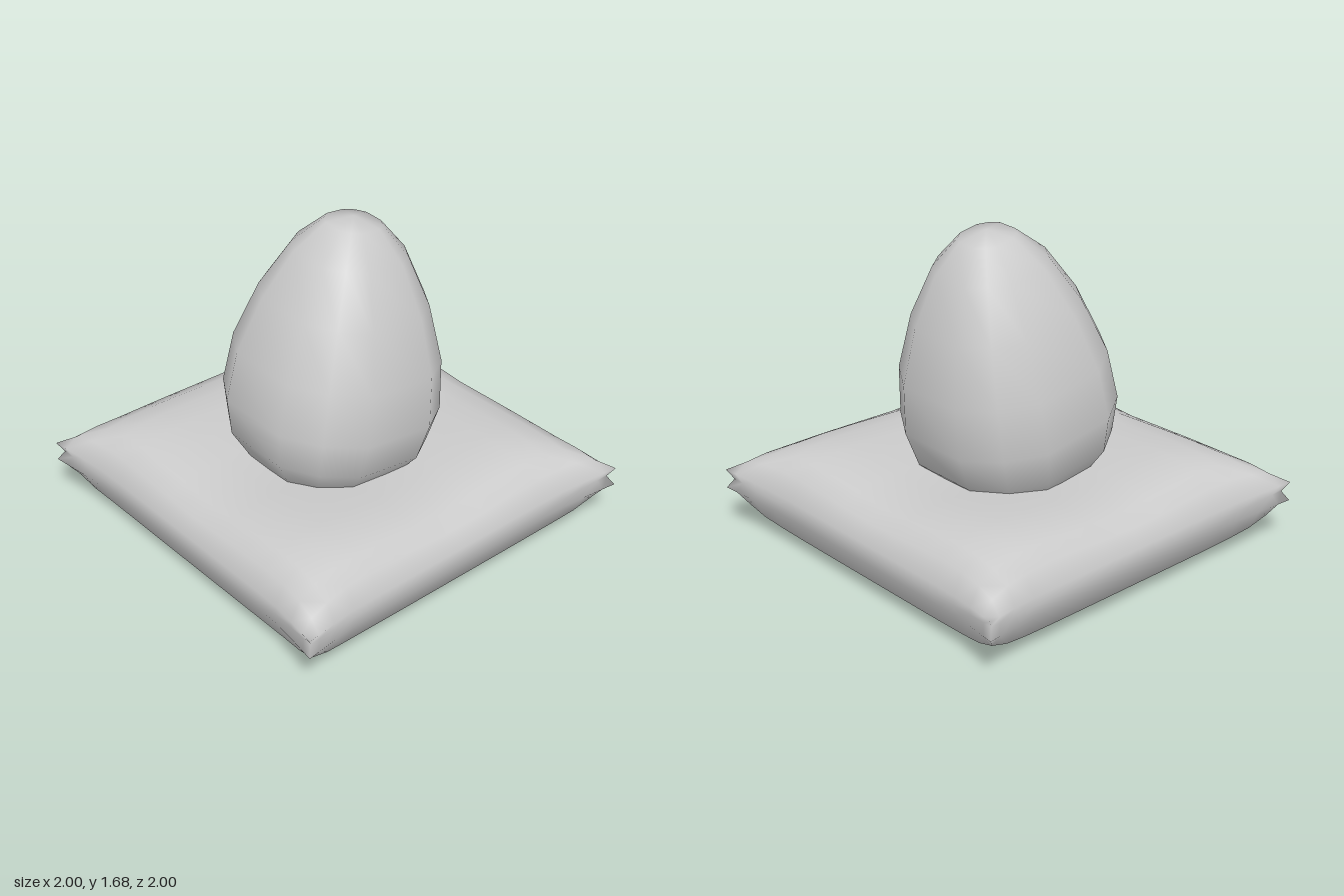
import * as THREE from 'three';
import { mergeVertices } from 'three/addons/utils/BufferGeometryUtils.js';

const material = new THREE.MeshStandardMaterial({ color: 0xcccccc });

// Move every vertex by a rule, then weld the seams for smooth normals
function reshape(geometry, rule) {
  const p = geometry.attributes.position;
  const v = new THREE.Vector3();
  for (let i = 0; i < p.count; i++) {
    rule(v.fromBufferAttribute(p, i));
    p.setXYZ(i, v.x, v.y, v.z);
  }
  geometry.deleteAttribute('uv');
  geometry.deleteAttribute('normal');
  const welded = mergeVertices(geometry, 1e-4);
  welded.computeVertexNormals();
  return welded;
}

// Square pillow: puffed top and bottom, thin rim, pulled-out corner tips
function createPillow() {
  const crowd = s => Math.sign(s) * (1 - Math.pow(1 - Math.abs(s), 1.5)); // finer near the rim
  const puff = (s, n) => Math.sqrt(Math.max(0, 1 - Math.pow(Math.abs(s), n)));
  const pull = s => Math.pow(Math.max(0, (Math.abs(s) - 0.65) / 0.35), 1.5);
  const sag = s => Math.max(0, 1 - Math.abs(s) / 0.68);

  const geometry = reshape(new THREE.BoxGeometry(2, 2, 2, 14, 2, 14), v => {
    const a = crowd(v.x), c = crowd(v.z), b = v.y;
    const n = b > 0 ? 6 : 8;
    const full = puff(a, n) * puff(c, n);
    const corner = pull(a) * pull(c);
    // seam is tucked in at the corners
    const tuck = b === 0 ? 0.03 * corner : 0;
    v.x = a * (0.935 + 0.065 * pull(c) * a ** 4 - tuck);
    v.z = c * (0.935 + 0.065 * pull(a) * c ** 4 - tuck);
    v.y = 0.26 + 0.03 * corner + b * (0.05 + 0.21 * full);
    // the weight of the egg presses the top down
    if (b > 0) v.y -= 0.05 * full * (sag(a) + sag(c));
  });
  const pillow = new THREE.Mesh(geometry, material);
  pillow.name = 'pillow';
  return pillow;
}

// Egg: twelve-sided lathe with wide flats facing the four sides, leaning back
function createEgg() {
  const rings = [
    [0, -0.56], [0.19, -0.53], [0.35, -0.44], [0.46, -0.29], [0.5, -0.1],
    [0.475, 0.16], [0.385, 0.445], [0.26, 0.69], [0.13, 0.83], [0, 0.86],
  ];
  const profile = rings.map(([r, y]) => new THREE.Vector2(r * 1.077, y));
  const step = Math.PI / 6;
  const geometry = reshape(new THREE.LatheGeometry(profile, 12), v => {
    const r = Math.hypot(v.x, v.z);
    const k = (Math.round(Math.atan2(v.x, v.z) / step) + 12) % 12;
    const angle = Math.floor(k / 3) * Math.PI / 2 + Math.PI / 4 + (k % 3 - 1) * 0.405;
    v.x = r * Math.sin(angle);
    v.z = r * Math.cos(angle);
  });
  const egg = new THREE.Mesh(geometry, material);
  egg.name = 'egg';
  egg.position.y = 0.83;
  egg.rotation.x = -0.148;
  return egg;
}

export function createModel() {
  const group = new THREE.Group();
  group.name = 'eggOnPillow';
  group.add(createPillow(), createEgg());
  return group;
}
